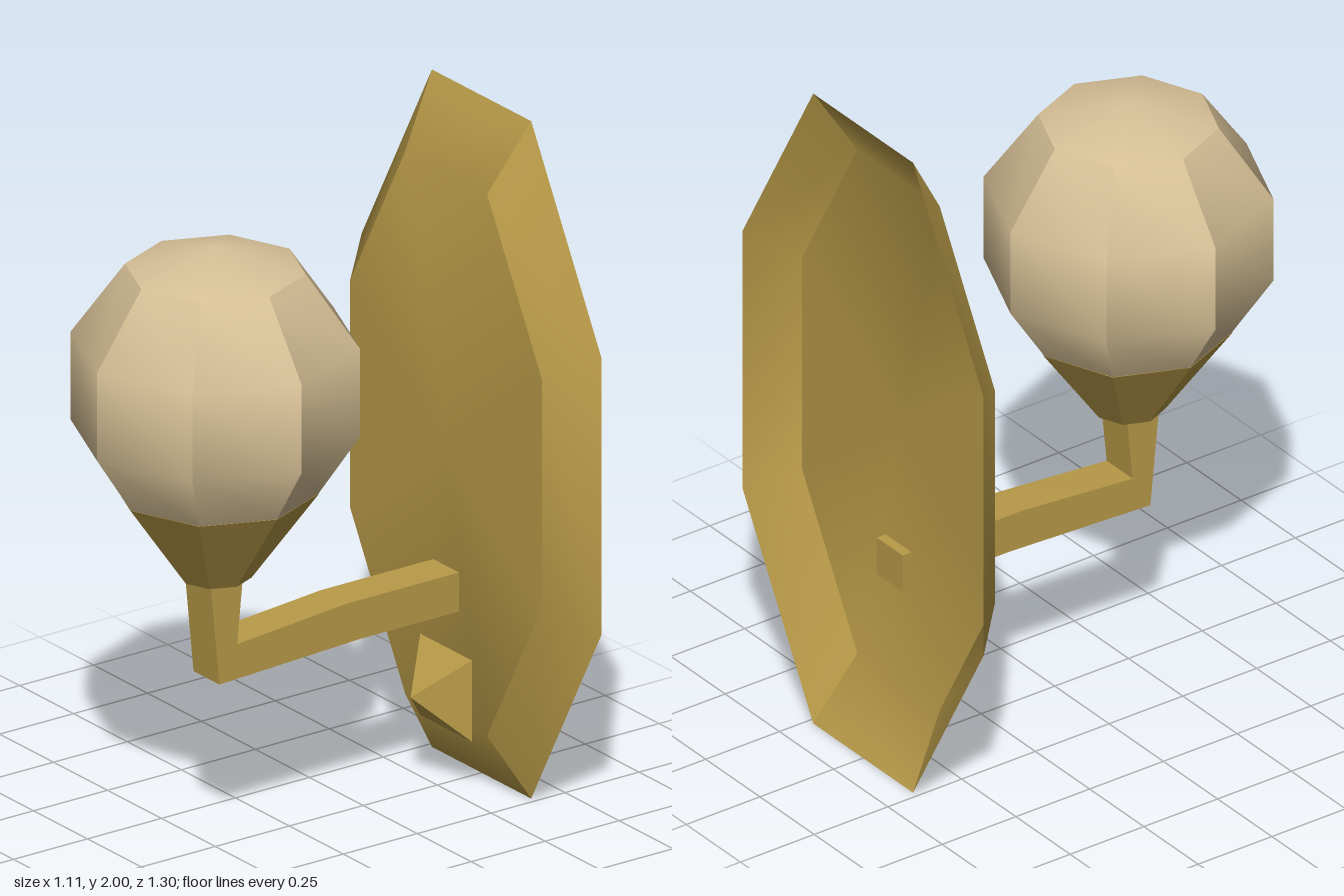
import * as THREE from 'three';
import { toCreasedNormals } from 'three/addons/utils/BufferGeometryUtils.js';

const CREASE = THREE.MathUtils.degToRad(35);

// Counterclockwise octagon with the given half widths and heights, centred on y = 1
function octagon(endX, sideX, sideY, endY, z) {
  const quarter = [[sideX, sideY], [endX, endY]];
  const right = [[endX, -endY], [sideX, -sideY], ...quarter];
  const left = right.map(([x, y]) => [-x, -y]);
  return [...right, ...left].map(([x, y]) => [x, 1 + y, z]);
}

// Dished wall plate, open at the back
function plateGeometry() {
  const outer = octagon(0.23, 0.555, 0.41, 1, -0.65);
  const inner = octagon(0.19, 0.445, 0.335, 0.8, -0.53);
  const index = [];
  for (let i = 0; i < 8; i++) {
    const j = (i + 1) % 8;
    index.push(i, j, 8 + j, i, 8 + j, 8 + i, 8 + i, 8 + j, 16);
  }
  const geometry = new THREE.BufferGeometry();
  const points = [...outer, ...inner, [0, 1, -0.53]];
  geometry.setAttribute('position', new THREE.Float32BufferAttribute(points.flat(), 3));
  geometry.setIndex(index);
  return geometry;
}

// Eight-sided turned part from [radius, height] pairs, bottom to top
function turned(profile) {
  return new THREE.LatheGeometry(profile.map(([r, y]) => new THREE.Vector2(r, y)), 8);
}

export function createModel() {
  const model = new THREE.Group();
  model.name = 'wallLamp';
  const brass = new THREE.MeshStandardMaterial({ color: 0xb89a48 });
  brass.name = 'brass';
  brass.side = THREE.DoubleSide;
  const glass = new THREE.MeshStandardMaterial({ color: 0xd8c197 });
  glass.name = 'frostedGlass';
  glass.side = THREE.DoubleSide;

  const add = (name, geometry, material) => {
    const mesh = new THREE.Mesh(toCreasedNormals(geometry, CREASE), material);
    mesh.name = name;
    model.add(mesh);
    return mesh;
  };

  add('wallPlate', plateGeometry(), brass);

  // Pyramid knob low on the plate
  const knob = new THREE.ConeGeometry(0.12 * Math.SQRT2, 0.12, 4, 1, true);
  knob.rotateY(Math.PI / 4).rotateX(Math.PI / 2).translate(0, 0.28, -0.47);
  add('knob', knob, brass);

  // Bent arm, drawn as its side outline in (z, y); its end pokes through the plate
  const outline = [
    [-0.56, 0.525], [-0.2, 0.525], [0.28, 0.505], [0.31, 0.81],
    [0.2, 0.81], [0.22, 0.61], [-0.15, 0.64], [-0.56, 0.64],
  ].map(([z, y]) => new THREE.Vector2(z, y));
  const arm = new THREE.ExtrudeGeometry(new THREE.Shape(outline), { depth: 0.12, bevelEnabled: false });
  arm.rotateY(-Math.PI / 2).translate(0.06, 0, 0);
  add('arm', arm, brass);

  // Cup and globe on the arm's upright end
  const cup = add('cup', turned([[0, 0.8], [0.1, 0.8], [0.287, 1.06]]), brass);
  const globe = add('globe', turned([
    [0.285, 1.06], [0.4, 1.235], [0.4, 1.495], [0.25, 1.705], [0, 1.78],
  ]), glass);
  cup.position.z = globe.position.z = 0.25;

  return model;
}
